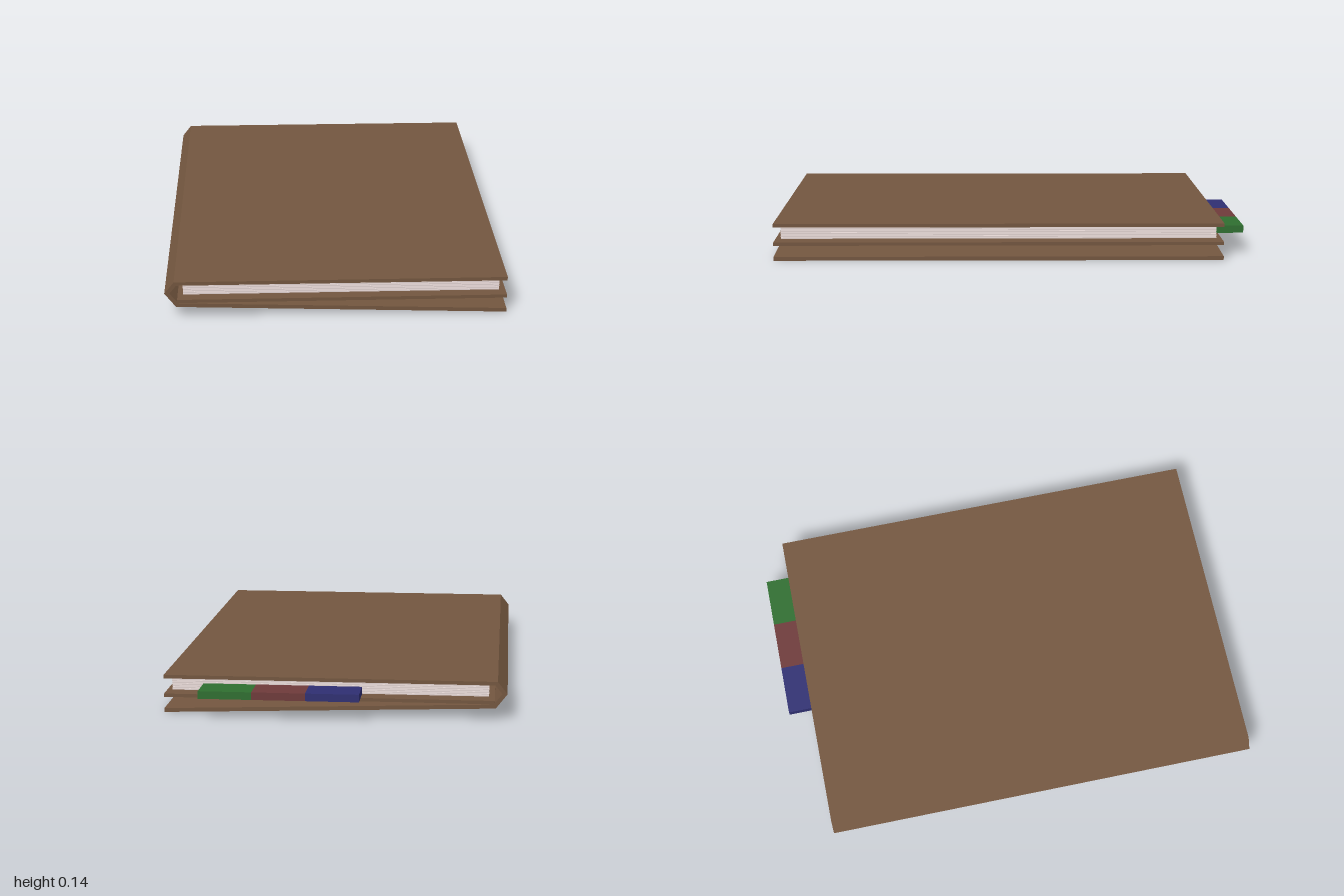
import * as THREE from 'three';

const LENGTH = 1.63; // along the spine

function box(name, color, x0, x1, y0, y1, z0, z1) {
  const geo = new THREE.BoxGeometry(x1 - x0, y1 - y0, z1 - z0);
  geo.translate((x0 + x1) / 2, (y0 + y1) / 2, (z0 + z1) / 2);
  const mesh = new THREE.Mesh(geo, new THREE.MeshStandardMaterial({ color }));
  mesh.name = name;
  return mesh;
}

// Extrude a cross-section along the length of the spine
function extrude(name, color, points) {
  const shape = new THREE.Shape(points.map(([x, y]) => new THREE.Vector2(x, y)));
  const geo = new THREE.ExtrudeGeometry(shape, { depth: LENGTH, bevelEnabled: false });
  geo.translate(0, 0, -LENGTH / 2);
  const mesh = new THREE.Mesh(geo, new THREE.MeshStandardMaterial({ color }));
  mesh.name = name;
  return mesh;
}

export function createModel() {
  const notebook = new THREE.Group();
  notebook.name = 'notebook';
  const brown = 0x73563f;

  // Front cover, folded spine and slightly opened back cover in one strip
  notebook.add(extrude('coverAndSpine', brown, [
    [0.6, 0.135], [-0.572, 0.135], [-0.606, 0.092], [-0.566, 0.04], [0.6, 0],
    [0.6, 0.014], [-0.558, 0.054], [-0.588, 0.092], [-0.564, 0.122], [0.6, 0.122],
  ]));

  // Inner flap behind the pages
  notebook.add(box('innerFlap', brown, -0.562, 0.6, 0.055, 0.067, -LENGTH / 2, LENGTH / 2));

  // Stack of separate sheets
  const pages = new THREE.Group();
  pages.name = 'pages';
  for (let i = 0; i < 7; i++) {
    const y = 0.076 + i * 0.006;
    pages.add(box('sheet', 0xe0d2d0, -0.542, 0.575, y, y + 0.004, -0.79, 0.79));
  }
  notebook.add(pages);

  // Coloured index tabs past the rear end of the pages
  const tabs = new THREE.Group();
  tabs.name = 'indexTabs';
  [['blueTab', 0x2f2f72], ['redTab', 0x6e3a3a], ['greenTab', 0x2f6e30]].forEach(([name, color], i) => {
    const x = -0.098 + i * 0.187;
    tabs.add(box(name, color, x, x + 0.187, 0.074, 0.101, -0.905, -0.785));
  });
  notebook.add(tabs);

  // The book lies turned on the ground
  notebook.rotation.y = -0.467;
  const model = new THREE.Group();
  model.name = 'model';
  model.add(notebook);
  return model;
}
